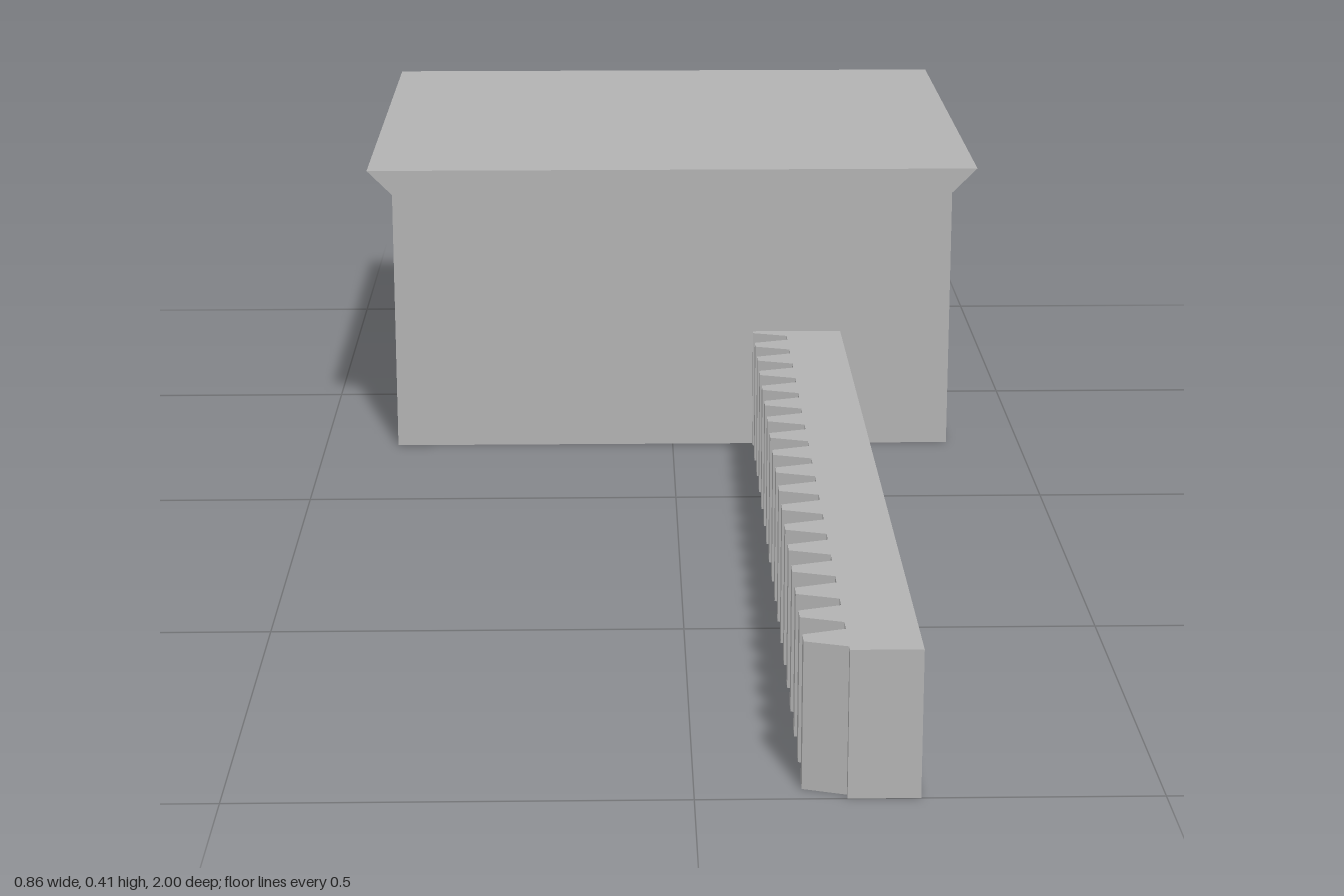
import * as THREE from 'three';

const WALL_Z = -0.243; // front face of the housing

function extrude(points, depth) {
  const shape = new THREE.Shape(points.map(([x, y]) => new THREE.Vector2(x, y)));
  return new THREE.ExtrudeGeometry(shape, { depth, bevelEnabled: false });
}

export function createModel() {
  const group = new THREE.Group();
  const grey = new THREE.MeshStandardMaterial({ color: 0xb2b2b2 });
  grey.name = 'grey';

  // Block with a flared lip along both top edges
  const half = [[0.396, 0], [0.396, 0.37], [0.431, 0.405]];
  const mirrored = half.map(([x, y]) => [-x, y]).reverse();
  const housing = new THREE.Mesh(extrude([...half, ...mirrored], WALL_Z + 1), grey);
  housing.name = 'housing';
  housing.position.z = -1;
  group.add(housing);

  // Toothed bar: trapezoid teeth along its -x side, from a half tooth at the
  // wall to a half gap at the free end
  const back = 0.24, root = 0.162, tip = 0.115;
  const halfPitches = 35;
  const step = (1 - WALL_Z) / halfPitches;
  const flat = 0.01; // half width of each tip and gap
  const outline = [[back, -1], [back, -WALL_Z]];
  for (let i = 0; i <= halfPitches; i++) {
    const x = i % 2 ? root : tip;
    const z = WALL_Z + i * step;
    outline.push([x, -Math.max(z - flat, WALL_Z)], [x, -Math.min(z + flat, 1)]);
  }
  const rackGeometry = extrude(outline, 0.168).rotateX(-Math.PI / 2);
  const rack = new THREE.Mesh(rackGeometry, grey);
  rack.name = 'toothedRack';
  group.add(rack);

  return group;
}
